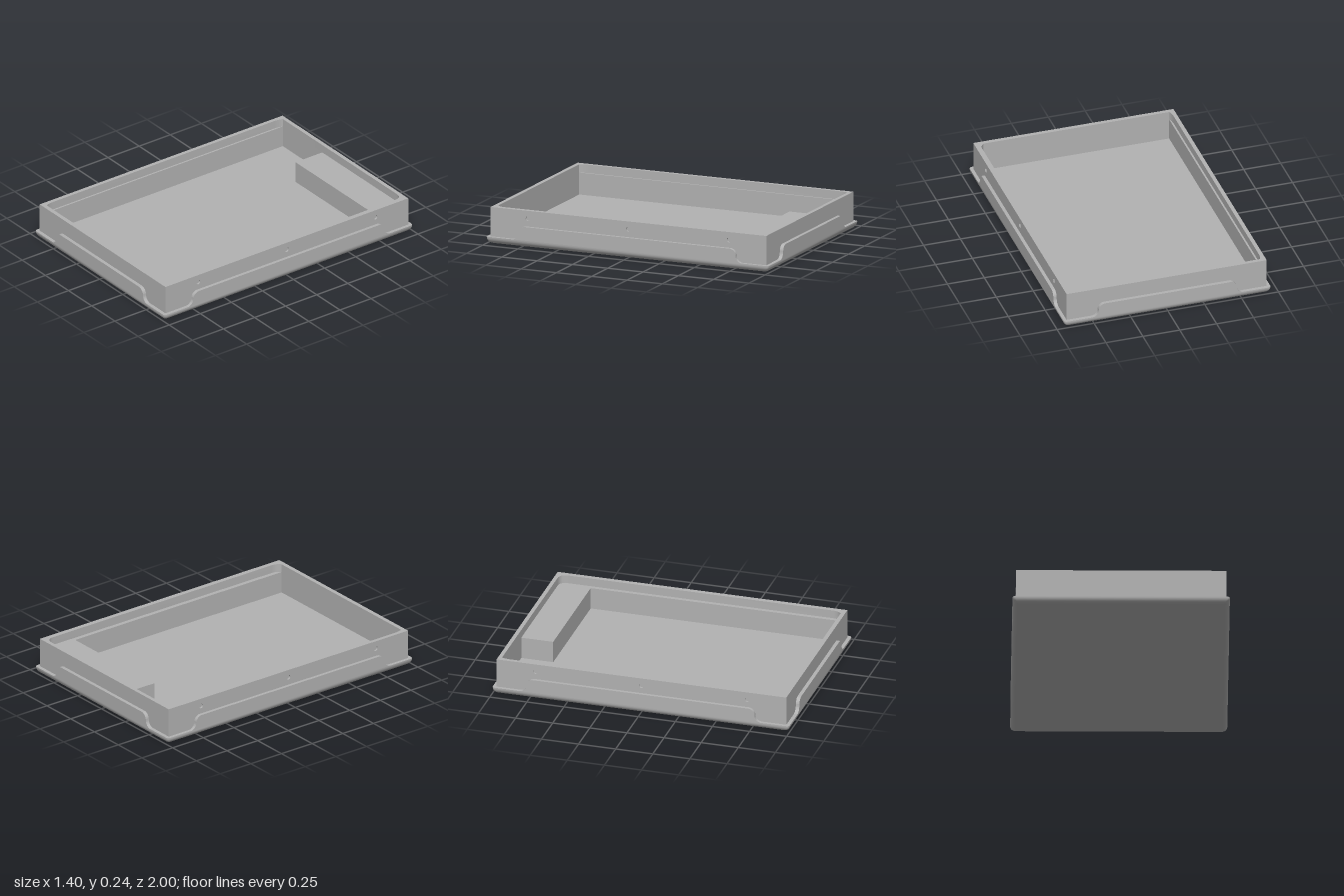
import * as THREE from 'three';
import { toCreasedNormals } from 'three/addons/utils/BufferGeometryUtils.js';

const X = 0.7, Z = 1;            // half size of the base
const BX = 0.678, BZ = 0.976;    // half size of the upper box
const LEDGE = 0.046, FLOOR = 0.04, STEP = 0.185, TOP = 0.24, SKIN = 0.012;

const rect = (Type, w, h) => new Type([[-w, -h], [w, -h], [w, h], [-w, h]].map(([x, y]) => new THREE.Vector2(x, y)));

// Closed ring of a rounded rectangle, counter-clockwise seen from above
function roundedRing(hx, hz, r, seg = 4) {
  const ring = [];
  [[1, 1], [-1, 1], [-1, -1], [1, -1]].forEach(([sx, sy], c) => {
    for (let i = 0; i <= seg; i++) {
      const a = (c + i / seg) * Math.PI / 2;
      ring.push(new THREE.Vector2(sx * (hx - r) + r * Math.cos(a), sy * (hz - r) + r * Math.sin(a)));
    }
  });
  return ring;
}

export function createModel() {
  const group = new THREE.Group();
  const grey = new THREE.MeshStandardMaterial({ color: 0xb2b2b2 });
  grey.name = 'grey plastic';
  const add = (name, geometry) => {
    const mesh = new THREE.Mesh(geometry, grey);
    mesh.name = name;
    group.add(mesh);
    return mesh;
  };
  const extrude = (shape, depth) => toCreasedNormals(
    new THREE.ExtrudeGeometry(shape, { depth, bevelEnabled: false, curveSegments: 10 }), 0.6);

  // Base skirt with a rounded bottom edge
  const R = 0.042, steps = 8, corner = 0.018;
  const rings = [];
  for (let i = 0; i <= steps; i++) {
    const a = i / steps * Math.PI / 2, inset = R * (1 - Math.sin(a));
    rings.push({ y: R * (1 - Math.cos(a)), p: roundedRing(X - inset, Z - inset, corner) });
  }
  rings.push({ y: LEDGE, p: roundedRing(X, Z, corner) });
  const pos = [];
  for (let k = 0; k + 1 < rings.length; k++) {
    const lo = rings[k], hi = rings[k + 1], n = lo.p.length;
    for (let i = 0; i < n; i++) {
      const j = (i + 1) % n;
      for (const [r, m] of [[lo, i], [lo, j], [hi, j], [lo, i], [hi, j], [hi, i]]) pos.push(r.p[m].x, r.y, -r.p[m].y);
    }
  }
  const skirt = new THREE.BufferGeometry();
  skirt.setAttribute('position', new THREE.Float32BufferAttribute(pos, 3));
  add('baseSkirt', toCreasedNormals(skirt, 0.6));
  add('baseUnderside', new THREE.ShapeGeometry(new THREE.Shape(rings[0].p)).rotateX(Math.PI / 2));
  const ledge = new THREE.Shape(roundedRing(X, Z, corner));
  ledge.holes.push(rect(THREE.Path, 0.658, 0.962));
  add('baseLedge', new THREE.ShapeGeometry(ledge).rotateX(-Math.PI / 2)).position.y = LEDGE;
  add('floor', new THREE.PlaneGeometry(1.3, 1.92).rotateX(-Math.PI / 2)).position.y = FLOOR;

  // Walls: lower part includes the corner block and the shelf along one side
  const wall = (name, hole, y0, y1) => {
    const s = rect(THREE.Shape, BX - SKIN, BZ);
    s.holes.push(hole);
    add(name, extrude(s, y1 - y0).rotateX(-Math.PI / 2)).position.y = y0;
  };
  const cavity = new THREE.Path([[-0.64, 0.95], [-0.215, 0.95], [-0.215, 0.735], [0.617, 0.735], [0.617, -0.948], [-0.64, -0.948]]
    .map(([x, y]) => new THREE.Vector2(x, y)));
  wall('lowerWallsWithBlock', cavity, FLOOR, STEP);

  // Upper recess, slightly wider with eased corners
  const recess = new THREE.Path();
  recess.moveTo(-0.64, 0.95);
  recess.lineTo(0.588, 0.95);
  recess.quadraticCurveTo(0.645, 0.95, 0.645, 0.893);
  recess.lineTo(0.645, -0.89);
  recess.quadraticCurveTo(0.643, -0.93, 0.617, -0.948);
  recess.lineTo(-0.64, -0.948);
  recess.quadraticCurveTo(-0.65, -0.93, -0.652, -0.89);
  recess.lineTo(-0.652, 0.89);
  recess.quadraticCurveTo(-0.65, 0.93, -0.64, 0.95);
  wall('upperWalls', recess, STEP, TOP);

  // Outer skins of the long sides, with three screw holes each
  for (const side of [1, -1]) {
    const s = new THREE.Shape();
    s.moveTo(-BZ, FLOOR);
    s.lineTo(BZ, FLOOR);
    s.lineTo(BZ, TOP);
    s.lineTo(-BZ, TOP);
    s.closePath();
    for (const z of [-0.712, 0, 0.712]) {
      s.holes.push(new THREE.Path().absarc(z, 0.188, 0.016, 0, Math.PI * 2, true));
    }
    const skin = add(side > 0 ? 'leftSideSkin' : 'rightSideSkin', extrude(s, SKIN));
    skin.rotation.y = side * Math.PI / 2;
    skin.position.x = side * (BX - SKIN);
  }

  // Raised panels with S-curved ends on all four sides
  const panelShape = (mid) => {
    const r = 0.045, y1 = 0.136, ym = (LEDGE + y1) / 2, s = new THREE.Shape();
    s.moveTo(-mid - r, LEDGE);
    s.lineTo(mid + r, LEDGE);
    s.absarc(mid + r, ym, r, -Math.PI / 2, -Math.PI, true);
    s.absarc(mid - r, ym, r, 0, Math.PI / 2, false);
    s.lineTo(-mid + r, y1);
    s.absarc(-mid + r, ym, r, Math.PI / 2, Math.PI, false);
    s.absarc(-mid - r, ym, r, 0, -Math.PI / 2, true);
    return s;
  };
  const panels = [['frontPanel', 0, 0.468, BZ, Z], ['leftPanel', 1, 0.768, BX, X],
    ['backPanel', 2, 0.468, BZ, Z], ['rightPanel', 3, 0.768, BX, X]];
  for (const [name, turn, mid, inner, outer] of panels) {
    const g = extrude(panelShape(mid), outer - inner).translate(0, 0, inner);
    add(name, g).rotation.y = turn * Math.PI / 2;
  }
  return group;
}
